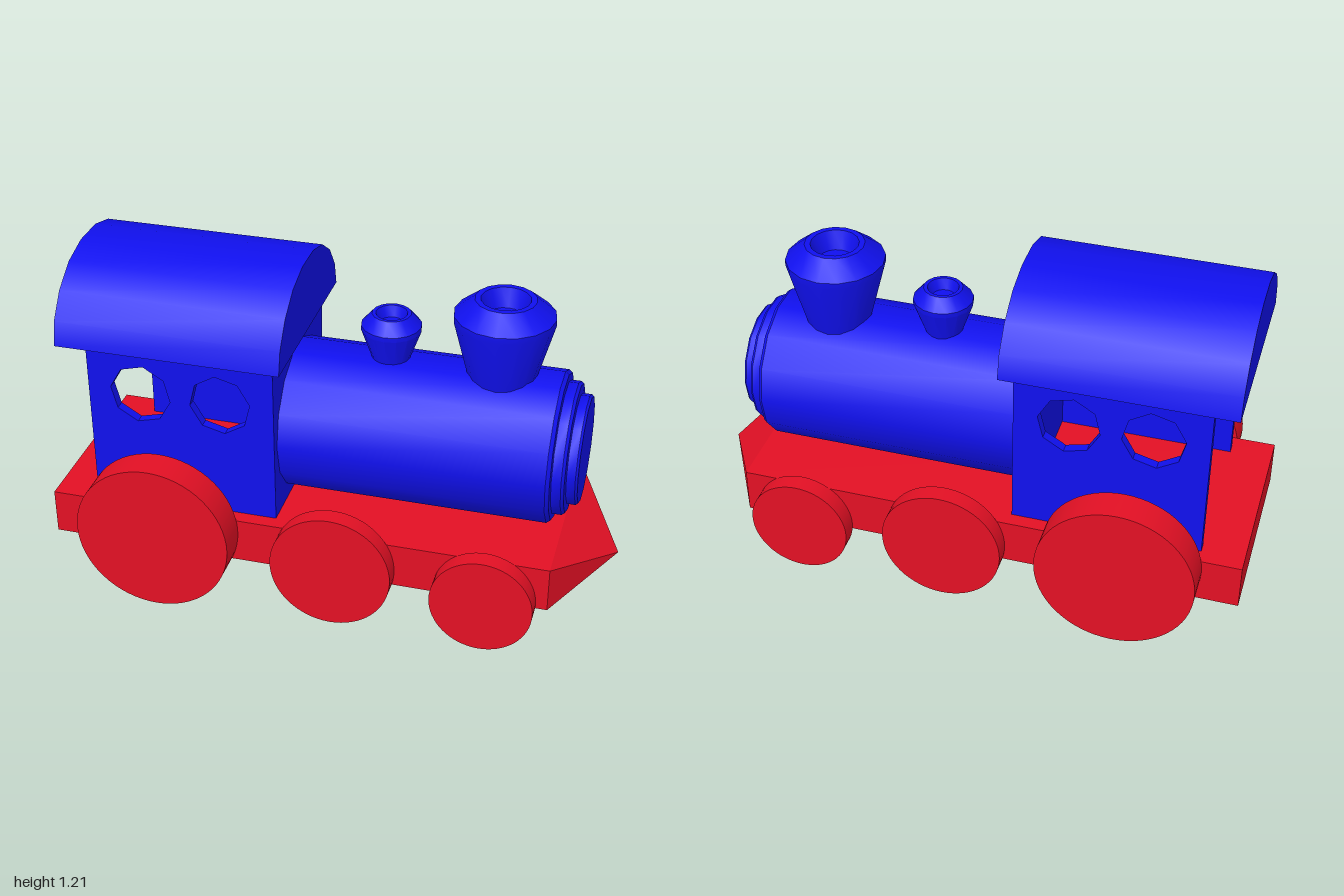
import * as THREE from 'three';
import { toCreasedNormals } from 'three/addons/utils/BufferGeometryUtils.js';
import { ConvexGeometry } from 'three/addons/geometries/ConvexGeometry.js';

const blue = new THREE.MeshStandardMaterial({ color: 0x1010ee });
const red = new THREE.MeshStandardMaterial({ color: 0xe31024 });

export function createModel() {
  const train = new THREE.Group();
  train.name = 'toyTrain';

  const add = (name, geometry, material, x = 0, y = 0, z = 0) => {
    const mesh = new THREE.Mesh(geometry, material);
    mesh.name = name;
    mesh.position.set(x, y, z);
    train.add(mesh);
    return mesh;
  };
  // Turned part: profile of [radius, height] pairs, hard edges kept
  const turned = (profile, sides) =>
    toCreasedNormals(new THREE.LatheGeometry(profile.map(p => new THREE.Vector2(...p)), sides), 0.5);

  // Chassis with a pointed nose
  const corners = [new THREE.Vector3(0.995, 0.2, 0)];
  for (const x of [-1, 0.8])
    for (const y of [0.167, 0.333])
      for (const z of [-0.352, 0.352]) corners.push(new THREE.Vector3(x, y, z));
  add('chassis', new ConvexGeometry(corners), red);

  // Three pairs of wheels, largest at the back: x, y, radius, thickness
  const wheels = [
    ['rearWheel', -0.585, 0.285, 0.279, 0.12],
    ['middleWheel', 0.046, 0.225, 0.216, 0.066],
    ['frontWheel', 0.58, 0.184, 0.18, 0.066],
  ];
  for (const [name, x, y, r, t] of wheels) {
    const geometry = new THREE.CylinderGeometry(r, r, t, 64).rotateX(Math.PI / 2);
    for (const s of [-1, 1]) add(name, geometry, red, x, y, s * (0.352 + t / 2));
  }

  // Boiler with two stepped rings at its front
  const boiler = turned([
    [0, -0.19], [0.27, -0.19], [0.27, 0.752], [0.26, 0.765], [0.235, 0.767],
    [0.235, 0.8], [0.227, 0.81], [0.194, 0.812], [0.194, 0.842], [0.187, 0.85], [0, 0.85],
  ], 14).rotateZ(-Math.PI / 2);
  add('boiler', boiler, blue, 0, 0.608, 0);

  // Chimney and steam dome, both hollow at the top
  add('chimney', turned([
    [0.11, 0.8], [0.117, 0.85], [0.174, 1.065], [0.174, 1.088], [0.105, 1.145],
    [0.085, 1.145], [0.06, 1.08], [0, 1.08],
  ], 16), blue, 0.542, 0, -0.012);
  add('steamDome', turned([
    [0.06, 0.8], [0.065, 0.865], [0.105, 0.978], [0.105, 0.995], [0.068, 1.038],
    [0.055, 1.038], [0.04, 1.0], [0, 1.0],
  ], 16), blue, 0.152, 0, -0.012);

  // Cab side walls with two eight-sided windows each; the back is open
  const wall = new THREE.Shape();
  wall.moveTo(-0.85, 0.33).lineTo(-0.18, 0.33).lineTo(-0.18, 0.95).lineTo(-0.85, 0.95).closePath();
  for (const [cx, turn] of [[-0.66, -0.14], [-0.372, 0.14]]) {
    const points = [];
    for (let i = 0; i < 8; i++) {
      const a = turn + i * Math.PI / 4;
      points.push(new THREE.Vector2(cx + 0.109 * Math.cos(a), 0.766 + 0.111 * Math.sin(a)));
    }
    wall.holes.push(new THREE.Path(points));
  }
  const wallGeometry = new THREE.ExtrudeGeometry(wall, { depth: 0.035, bevelEnabled: false });
  add('cabLeftWall', wallGeometry, blue, 0, 0, 0.265);
  add('cabRightWall', wallGeometry, blue, 0, 0, -0.3);
  add('cabFrontWall', new THREE.BoxGeometry(0.035, 0.62, 0.53), blue, -0.1975, 0.64, 0);

  // Solid arched roof
  const half = [[0.355, 0.945], [0.335, 1.03], [0.272, 1.116], [0.178, 1.18], [0.065, 1.211]];
  const arch = [...half, ...half.map(([z, y]) => [-z, y]).reverse()].map(p => new THREE.Vector2(...p));
  const roof = new THREE.ExtrudeGeometry(new THREE.Shape(arch), { depth: 0.8, bevelEnabled: false });
  add('roof', toCreasedNormals(roof.rotateY(Math.PI / 2), 0.6), blue, -0.94, 0, 0);

  return train;
}
